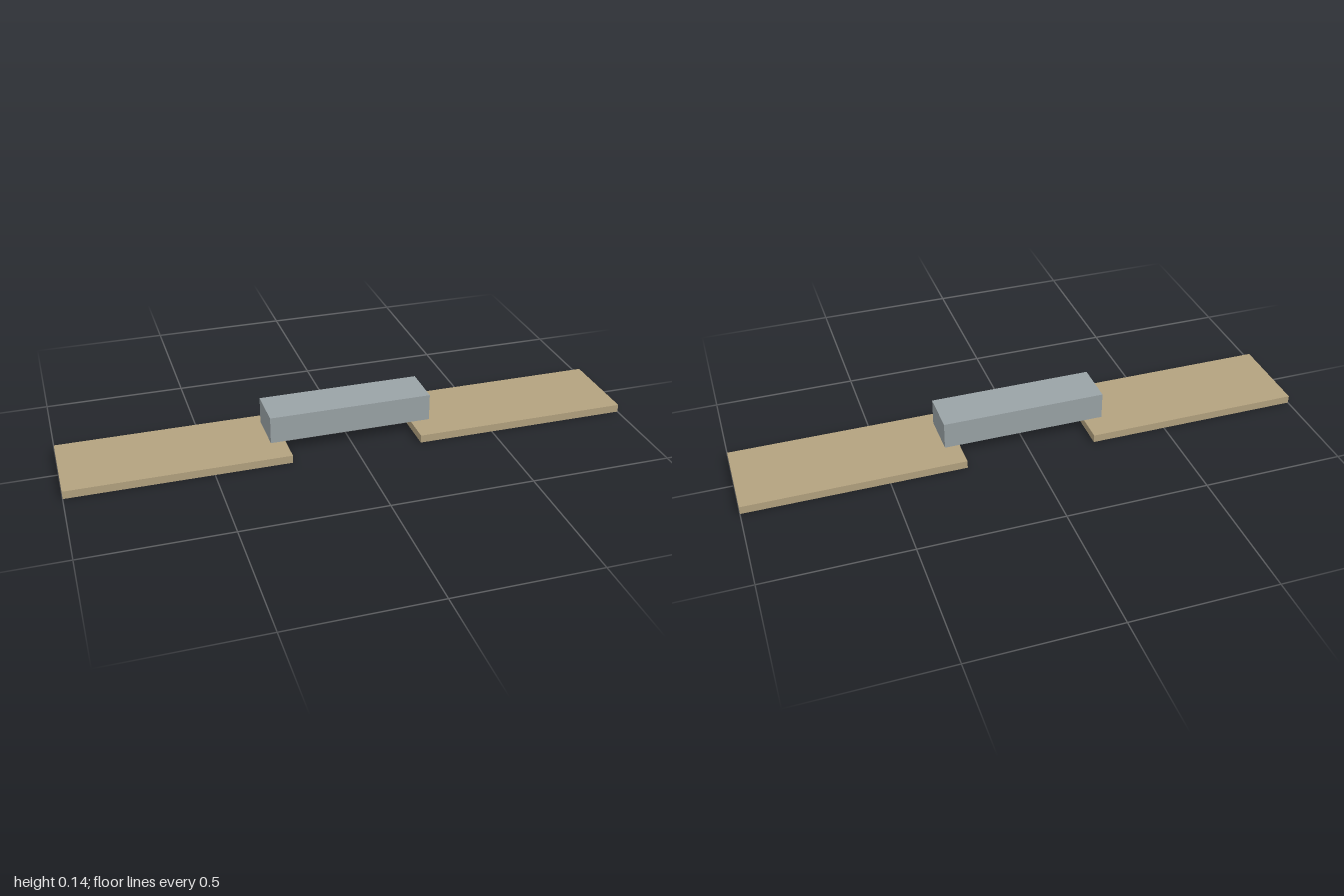
import * as THREE from 'three';

export function createModel() {
  const model = new THREE.Group();
  const tan = new THREE.MeshStandardMaterial({ color: 0xb3a27f });
  tan.name = 'tan';
  const grey = new THREE.MeshStandardMaterial({ color: 0x9aa3a6 });
  grey.name = 'grey';

  const box = (name, size, position, material) => {
    const mesh = new THREE.Mesh(new THREE.BoxGeometry(...size), material);
    mesh.name = name;
    mesh.position.set(...position);
    model.add(mesh);
  };

  // Two flat panels, mirrored left and right
  for (const [name, side] of [['leftPanel', 1], ['rightPanel', -1]]) {
    box(name, [0.769, 0.028, 0.308], [side * 0.6155, 0.014, 0], tan);
  }

  // Central bar raised just above the inner ends of the panels
  box('centreBar', [0.577, 0.096, 0.154], [0, 0.092, 0], grey);

  return model;
}
